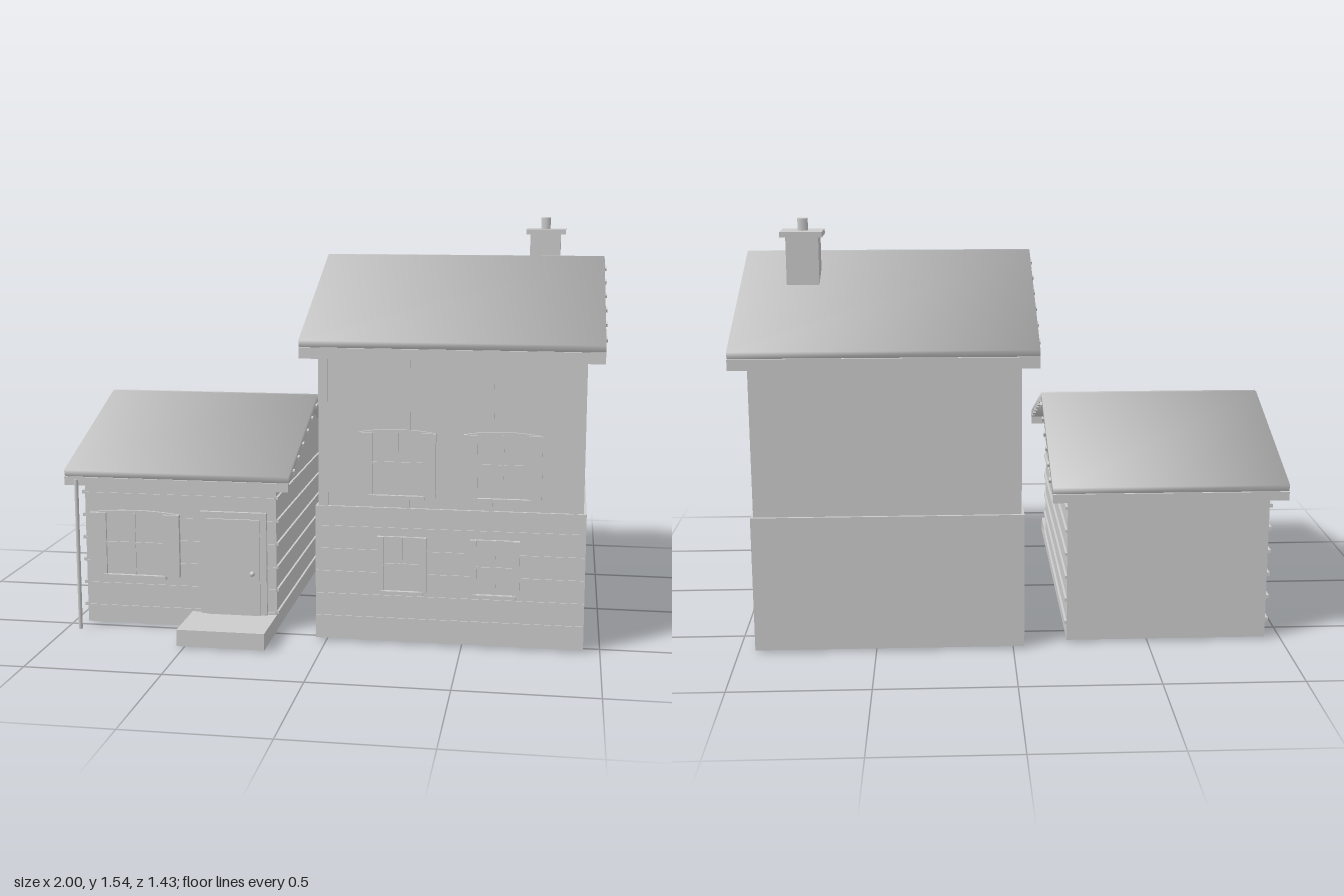
import * as THREE from 'three';

const grey = new THREE.MeshStandardMaterial({ color: 0xcccccc });
grey.name = 'plainGrey';

function add(parent, name, geometry) {
  const mesh = new THREE.Mesh(geometry, grey);
  mesh.name = name;
  parent.add(mesh);
  return mesh;
}

// Box given by its extents along each axis
function box(parent, name, x0, x1, y0, y1, z0, z1) {
  const mesh = add(parent, name, new THREE.BoxGeometry(x1 - x0, y1 - y0, z1 - z0));
  mesh.position.set((x0 + x1) / 2, (y0 + y1) / 2, (z0 + z1) / 2);
  return mesh;
}

// Softly shaded slab running from an eave up to the ridge
function roofSlab(parent, x0, x1, eave, ridge, thick) {
  const dz = ridge[0] - eave[0], dy = ridge[1] - eave[1];
  const geo = new THREE.BoxGeometry(x1 - x0, thick, Math.hypot(dz, dy));
  const p = geo.attributes.position, n = geo.attributes.normal, k = 1 / Math.sqrt(3);
  for (let i = 0; i < p.count; i++) {
    n.setXYZ(i, Math.sign(p.getX(i)) * k, Math.sign(p.getY(i)) * k, Math.sign(p.getZ(i)) * k);
  }
  const slab = add(parent, 'roofSlab', geo);
  const front = eave[0] > ridge[0];
  const angle = Math.atan2(dy, Math.abs(dz)) * (front ? 1 : -1);
  slab.rotation.x = angle;
  // The given line is the top surface, so sink the slab by half its thickness
  slab.position.set((x0 + x1) / 2,
    (eave[1] + ridge[1]) / 2 - Math.cos(angle) * thick / 2,
    (eave[0] + ridge[0]) / 2 - Math.sin(angle) * thick / 2);

  // Batten ends peeping out under both verges
  for (let i = 0; i < 6; i++) {
    const t = (i + 0.9) / 6.3;
    for (const x of [x0, x1]) {
      const peg = add(parent, 'battenEnd', new THREE.BoxGeometry(0.014, 0.012, 0.02));
      peg.rotation.x = angle;
      peg.position.set(x, eave[1] + dy * t - thick * 0.95, eave[0] + dz * t - Math.sin(angle) * thick);
    }
  }
}

function roof(parent, o) {
  const group = new THREE.Group();
  group.name = 'roof';
  parent.add(group);
  const mid = (o.front + o.back) / 2;
  roofSlab(group, o.x0, o.x1, [o.front, o.eaveY], [mid + 0.01, o.ridgeY], 0.03);
  roofSlab(group, o.x0, o.x1, [o.back, o.eaveY], [mid - 0.01, o.ridgeY], 0.03);
  // Gable prism with flat soffit
  const base = o.eaveY - 0.035;
  const shape = new THREE.Shape([
    new THREE.Vector2(-(o.front - 0.01), base),
    new THREE.Vector2(-(o.back + 0.01), base),
    new THREE.Vector2(-mid, o.ridgeY - 0.033),
  ]);
  const gable = add(group, 'gable',
    new THREE.ExtrudeGeometry(shape, { depth: o.wallX1 - o.wallX0, bevelEnabled: false }));
  gable.rotation.y = Math.PI / 2;
  gable.position.x = o.wallX0;
  // Gutters
  const g = o.gutter;
  box(group, 'gutter', o.x0, o.x1, base - g, base + 0.01, o.front - 0.015, o.front - 0.001);
  box(group, 'gutter', o.x0, o.x1, base - g, base + 0.01, o.back + 0.001, o.back + 0.015);
}

// Panel with a shallow arched head
function archPanel(parent, name, x0, x1, y0, y1, rise, z, depth) {
  const s = new THREE.Shape();
  s.moveTo(x0, y0);
  s.lineTo(x1, y0);
  s.lineTo(x1, y1 - rise);
  s.quadraticCurveTo((x0 + x1) / 2, y1 + rise, x0, y1 - rise);
  const mesh = add(parent, name, new THREE.ExtrudeGeometry(s, { depth, bevelEnabled: false, curveSegments: 6 }));
  mesh.position.z = z;
}

// Window with shutters, glazing bars and sill
function windowUnit(parent, x0, x1, y0, y1, z, rise, shutter) {
  const group = new THREE.Group();
  group.name = 'window';
  parent.add(group);
  archPanel(group, 'windowPane', x0, x1, y0, y1, rise, z - 0.005, 0.014);
  const a = x0 + shutter, b = x1 - shutter, c = (x0 + x1) / 2, m = (y0 + y1) / 2;
  box(group, 'shutter', x0, a, y0, y1 - rise, z, z + 0.018);
  box(group, 'shutter', b, x1, y0, y1 - rise, z, z + 0.018);
  box(group, 'glazingBar', c - 0.004, c + 0.004, y0, y1 - rise, z, z + 0.014);
  box(group, 'glazingBar', a, b, m - 0.004, m + 0.004, z, z + 0.014);
  box(group, 'sill', a - 0.012, b + 0.012, y0 - 0.01, y0 + 0.004, z, z + 0.024);
}

export function createModel() {
  const model = new THREE.Group();
  model.name = 'houses';

  // Tall house
  const tall = new THREE.Group();
  tall.name = 'tallHouse';
  model.add(tall);
  box(tall, 'lowerWalls', -0.04, 0.94, 0.008, 0.51, -0.66, 0.545);
  box(tall, 'upperWalls', -0.03, 0.93, 0.5, 1.09, -0.65, 0.535);
  roof(tall, { x0: -0.09, x1: 0.99, front: 0.6, back: -0.715, eaveY: 1.122, ridgeY: 1.395,
    wallX0: -0.03, wallX1: 0.93, gutter: 0.03 });
  for (let i = 0; i < 5; i++) {
    const y = 0.09 + i * 0.085;
    box(tall, 'frontBoard', -0.038, 0.938, y, y + 0.007, 0.54, 0.549);
  }
  for (const x of [0, 0.3, 0.6, 0.9]) {
    box(tall, 'wallBatten', x - 0.006, x + 0.006, 0.51, 1.085, 0.53, 0.541);
  }
  for (const x of [0.12, 0.5]) windowUnit(tall, x, x + 0.28, 0.555, 0.8, 0.536, 0.012, 0.05);
  for (const x of [0.19, 0.527]) windowUnit(tall, x, x + 0.18, 0.2, 0.405, 0.546, 0, 0.025);

  // Chimney
  const chimney = new THREE.Group();
  chimney.name = 'chimney';
  tall.add(chimney);
  box(chimney, 'chimneyStack', 0.7, 0.82, 1.2, 1.475, -0.303, -0.197);
  box(chimney, 'chimneyCap', 0.685, 0.84, 1.472, 1.492, -0.32, -0.183);
  const pot = add(chimney, 'chimneyPot', new THREE.CylinderGeometry(0.021, 0.021, 0.05, 6));
  pot.position.set(0.76, 1.512, -0.252);

  // Low house
  const low = new THREE.Group();
  low.name = 'lowHouse';
  model.add(low);
  box(low, 'walls', -0.94, -0.2, 0.008, 0.585, -0.61, 0.485);
  roof(low, { x0: -0.995, x1: -0.14, front: 0.555, back: -0.675, eaveY: 0.613, ridgeY: 0.828,
    wallX0: -0.94, wallX1: -0.2, gutter: 0.022 });
  for (let i = 0; i < 6; i++) {
    const y = 0.07 + i * 0.088;
    box(low, 'sideBoard', -0.952, -0.935, y, y + 0.012, -0.608, 0.484);
    box(low, 'sideBoard', -0.205, -0.192, y, y + 0.012, -0.608, 0.484);
    box(low, 'frontBoard', -0.938, -0.202, y, y + 0.007, 0.48, 0.489);
  }
  windowUnit(low, -0.92, -0.57, 0.2, 0.453, 0.486, 0.012, 0.065);

  // Door, knob and step
  box(low, 'doorFrame', -0.49, -0.235, 0.06, 0.46, 0.48, 0.499);
  box(low, 'doorPanel', -0.465, -0.26, 0.065, 0.435, 0.49, 0.507);
  const knob = add(low, 'doorKnob', new THREE.SphereGeometry(0.01, 10, 8));
  knob.position.set(-0.287, 0.23, 0.513);
  box(low, 'doorStep', -0.527, -0.2, 0.004, 0.066, 0.48, 0.713);

  // Drainpipe
  const pipe = add(low, 'drainpipe', new THREE.CylinderGeometry(0.008, 0.008, 0.58, 8));
  pipe.position.set(-0.948, 0.29, 0.556);

  return model;
}
